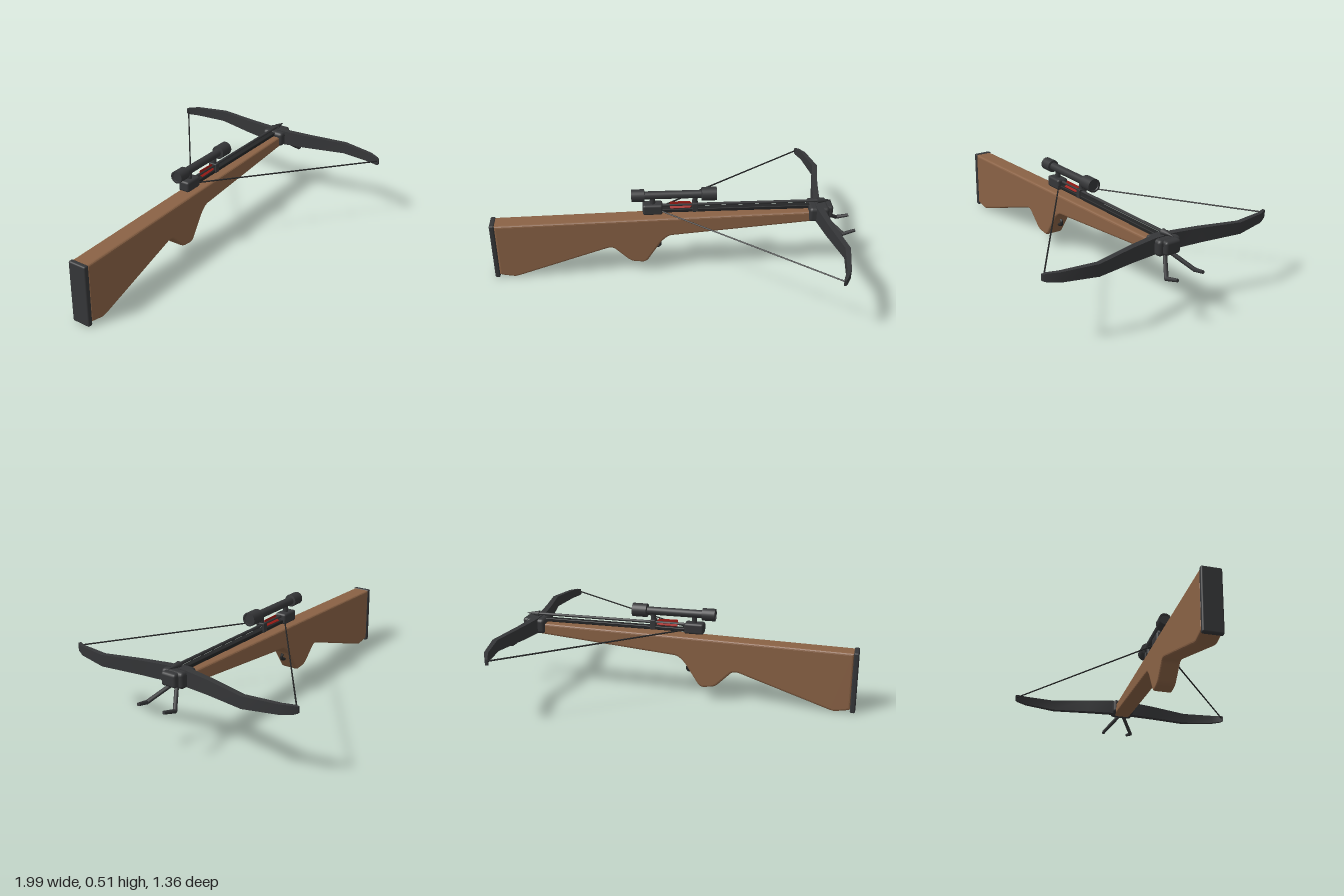
import * as THREE from 'three';
import { RoundedBoxGeometry } from 'three/addons/geometries/RoundedBoxGeometry.js';

const mat = (name, color) => new THREE.MeshStandardMaterial({ name, color });
const V = (x, y, z) => new THREE.Vector3(x, y, z);

export function createModel() {
  const model = new THREE.Group();
  model.name = 'crossbow';
  const wood = mat('brown wood', 0x8a6245);
  const metal = mat('dark grey metal', 0x353638);
  const black = mat('black', 0x242526);
  const red = mat('red', 0xa01c16);
  red.side = THREE.DoubleSide;

  const add = (name, geometry, material, x = 0, y = 0, z = 0) => {
    const mesh = new THREE.Mesh(geometry, material);
    mesh.name = name;
    mesh.position.set(x, y, z);
    model.add(mesh);
    return mesh;
  };
  // Rounded box given by its limits in x and y and its width in z
  const block = (name, x0, x1, y0, y1, w, r, material) => add(name,
    new RoundedBoxGeometry(x1 - x0, y1 - y0, w, 2, r), material, (x0 + x1) / 2, (y0 + y1) / 2);
  // Round rod between two points, tapered if r2 is given
  const rod = (name, a, b, r, material, r2 = r, sides = 12) => {
    const mesh = add(name, new THREE.CylinderGeometry(r2, r, a.distanceTo(b), sides), material);
    mesh.position.copy(a).lerp(b, 0.5);
    mesh.quaternion.setFromUnitVectors(V(0, 1, 0), b.clone().sub(a).normalize());
    return mesh;
  };

  // Stock with grip, bevelled along its outline
  const s = new THREE.Shape();
  s.moveTo(-0.975, 0.338);
  s.lineTo(-0.975, 0.022);
  s.lineTo(-0.95, 0.015);
  s.lineTo(-0.89, 0.004);
  s.lineTo(-0.865, 0.01);
  s.lineTo(-0.37, 0.174);
  s.quadraticCurveTo(-0.343, 0.182, -0.325, 0.166);
  s.lineTo(-0.255, 0.097);
  s.quadraticCurveTo(-0.24, 0.084, -0.22, 0.08);
  s.lineTo(-0.175, 0.075);
  s.quadraticCurveTo(-0.155, 0.076, -0.143, 0.094);
  s.lineTo(-0.075, 0.2);
  s.quadraticCurveTo(-0.04, 0.246, -0.01, 0.247);
  s.lineTo(0.81, 0.316);
  s.lineTo(0.81, 0.374);
  s.closePath();
  const bevel = 0.012;
  const stock = new THREE.ExtrudeGeometry(s, {
    depth: 0.102 - 2 * bevel, bevelEnabled: true, bevelSize: bevel, bevelThickness: bevel,
    bevelOffset: -bevel, bevelSegments: 3, curveSegments: 5,
  });
  add('stock', stock, wood, 0, 0, -0.051 + bevel);
  block('buttPlate', -1, -0.972, 0.004, 0.342, 0.104, 0.008, metal);

  // Trigger
  const trigger = new THREE.CatmullRomCurve3([
    V(-0.1, 0.19, 0), V(-0.078, 0.175, 0), V(-0.08, 0.155, 0), V(-0.108, 0.15, 0)]);
  add('trigger', new THREE.TubeGeometry(trigger, 10, 0.009, 6), black);

  // Rail, string latch and head block
  block('rail', -0.1, 0.8, 0.376, 0.396, 0.034, 0.004, black);
  block('latch', -0.17, -0.062, 0.37, 0.43, 0.066, 0.012, metal);
  block('headBlock', 0.735, 0.845, 0.316, 0.4, 0.134, 0.018, metal);
  block('headCap', 0.81, 0.87, 0.325, 0.397, 0.09, 0.014, metal);

  // Bow limbs: one long bar whose sections follow [z, x, half thickness, half height]
  const stations = [
    [0, 0.79, 0.018, 0.042], [0.06, 0.79, 0.018, 0.042], [0.21, 0.813, 0.016, 0.038],
    [0.43, 0.858, 0.014, 0.031], [0.61, 0.824, 0.011, 0.025], [0.665, 0.797, 0.009, 0.021],
    [0.68, 0.789, 0.006, 0.016]];
  const n = stations.length - 1;
  const limbs = new THREE.BoxGeometry(2, 2, 2 * n, 1, 1, 2 * n);
  const p = limbs.attributes.position;
  for (let i = 0; i < p.count; i++) {
    const k = Math.round(p.getZ(i));
    const [z, x, t, h] = stations[Math.abs(k)];
    p.setXYZ(i, x + t * p.getX(i), 0.362 + h * p.getY(i), Math.sign(k) * z);
  }
  limbs.computeVertexNormals();
  add('bowLimbs', limbs, metal);

  // String halves and front prongs
  for (const side of [1, -1]) {
    rod('string', V(0.79, 0.366, side * 0.672), V(-0.07, 0.392, side * 0.024), 0.0042, black, 0.0042, 6);
    const a = V(0.82, 0.325, side * 0.012), b = V(0.925, 0.248, side * 0.087), c = V(0.992, 0.264, side * 0.078);
    rod('prong', a, b, 0.011, metal, 0.011, 8);
    rod('prongTip', b, c, 0.011, metal, 0.009, 8);
    add('prongJoint', new THREE.SphereGeometry(0.0112, 8, 6), metal, b.x, b.y, b.z);
  }
  rod('stringCentre', V(-0.07, 0.392, -0.025), V(-0.07, 0.392, 0.025), 0.0045, black, 0.0045, 6);

  // Bolt with its head and three red vanes
  const boltY = 0.415;
  rod('boltShaft', V(-0.08, boltY, 0), V(0.8, boltY, 0), 0.008, metal);
  rod('boltHead', V(0.785, boltY, 0), V(0.86, boltY, 0), 0.017, metal, 0.001);
  const vane = new THREE.Shape([
    new THREE.Vector2(-0.025, 0), new THREE.Vector2(0.105, 0),
    new THREE.Vector2(0.085, 0.02), new THREE.Vector2(-0.02, 0.022)]);
  for (let i = 0; i < 3; i++) {
    const v = add('vane', new THREE.ExtrudeGeometry(vane, { depth: 0.003, bevelEnabled: false }), red, 0, boltY, 0);
    v.rotation.x = i * Math.PI * 2 / 3;
  }

  // Scope turned as one profile, with its mounts
  const profile = [[0, -0.225], [0.024, -0.225], [0.026, -0.23], [0.034, -0.23], [0.034, -0.16],
    [0.022, -0.158], [0.022, 0.148], [0.037, 0.15], [0.037, 0.23], [0.029, 0.23], [0.027, 0.224], [0, 0.224]];
  // Corners are doubled so that the edges stay sharp
  const pts = profile.flatMap(([r, y], i) => {
    const q = new THREE.Vector2(r, y);
    return i === 0 || i === profile.length - 1 ? [q] : [q, q.clone()];
  });
  const scope = add('scope', new THREE.LatheGeometry(pts, 24), metal, 0, 0.479, 0);
  scope.rotation.z = -Math.PI / 2;
  rod('rearMount', V(-0.115, 0.42, 0), V(-0.115, 0.465, 0), 0.014, metal);
  rod('frontMount', V(0.115, 0.425, 0), V(0.115, 0.465, 0), 0.014, metal);
  block('frontMountBridge', 0.1, 0.13, 0.42, 0.432, 0.05, 0.004, metal);
  for (const side of [1, -1]) {
    const leg = block('frontMountLeg', 0.1, 0.13, 0.38, 0.428, 0.01, 0.003, metal);
    leg.position.z = side * 0.02;
  }
  return model;
}
